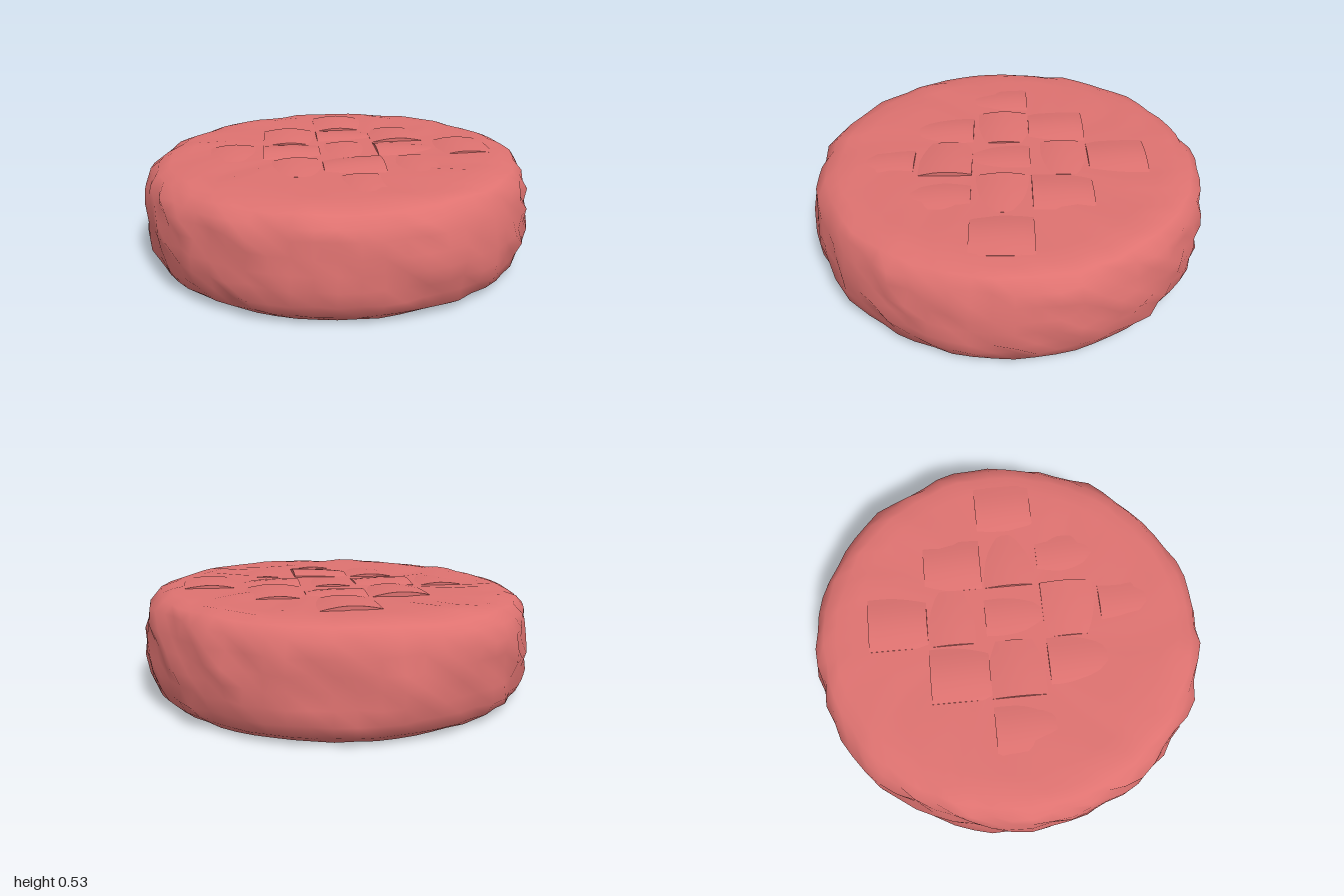
import * as THREE from 'three';
import { mergeVertices } from 'three/addons/utils/BufferGeometryUtils.js';

// Repeatable value in [-1, 1] for a pair of whole numbers
function hash(a, b) {
  const s = Math.sin(a * 127.1 + b * 311.7) * 43758.5453;
  return (s - Math.floor(s)) * 2 - 1;
}

// The top leans up slightly towards the back left
const lean = (x, z) => 0.014 * x - 0.01 * z;

// Round body: flat bottom, rough rounded side, smooth shallow top
function bodyGeometry() {
  const profile = [
    [0, 0], [0.5, 0], [0.84, 0], [0.885, 0.004], [0.935, 0.04], [0.962, 0.1], [0.971, 0.17],
    [0.973, 0.24], [0.97, 0.31], [0.962, 0.38], [0.943, 0.44], [0.9, 0.484], [0.84, 0.503],
    [0.75, 0.508], [0.6, 0.508], [0.4, 0.506], [0.2, 0.506], [0, 0.506],
  ].map(([r, y]) => new THREE.Vector2(r, y));
  const segments = 64;
  const lathe = new THREE.LatheGeometry(profile, segments);
  const p = lathe.attributes.position;
  for (let n = 0; n < p.count; n++) {
    const ring = n % profile.length;
    const seg = Math.floor(n / profile.length) % segments;
    const angle = seg / segments * Math.PI * 2;
    let { x: r, y } = profile[ring];
    if (ring > 2 && ring < 13) {
      // Broad lumps plus small chips, fading out at both rims
      const amount = ring < 5 || ring > 10 ? 0.5 : 1;
      r += amount * (0.007 * hash(Math.floor(seg / 3), Math.floor(ring / 3)) + 0.016 * hash(seg, ring));
    }
    const x = r * Math.sin(angle), z = 1.015 * r * Math.cos(angle);
    if (ring > 9) {
      y += lean(x, z) + (r > 0.5 ? 0.006 * hash(Math.floor(seg / 2), ring) : 0);
    }
    p.setXYZ(n, x, y, z);
  }
  // Weld the seam and centre so the shading is smooth all round
  lathe.deleteAttribute('normal');
  lathe.deleteAttribute('uv');
  const welded = mergeVertices(lathe, 1e-4);
  welded.computeVertexNormals();
  return welded;
}

// One raised square of the woven top: domed along one direction, tilted, with crisp edges
function tileGeometry(i, j, size) {
  const geometry = new THREE.BoxGeometry(size, 0.06, size, 6, 1, 6);
  const p = geometry.attributes.position;
  const cx = i * size, cz = j * size;
  for (let n = 0; n < p.count; n++) {
    const x = p.getX(n), z = p.getZ(n);
    const u = x / size, v = z / size;
    const along = (i + j) % 2 === 0 ? u : v;
    const across = (i + j) % 2 === 0 ? v : u;
    let y = 0.46;
    if (p.getY(n) > 0) {
      y = 0.498 + 0.02 * Math.cos(Math.PI * along) + 0.004 * Math.cos(Math.PI * across)
        + 0.006 * hash(i, j) + 0.016 * hash(i + 9, j) * u + 0.016 * hash(i, j + 9) * v
        + lean(cx + x, cz + z);
    }
    p.setXYZ(n, cx + x, y, cz + z);
  }
  geometry.computeVertexNormals();
  return geometry;
}

export function createModel() {
  const group = new THREE.Group();
  const meat = new THREE.MeshStandardMaterial({ color: 0xde7270 });
  meat.name = 'pinkish red';

  const body = new THREE.Mesh(bodyGeometry(), meat);
  body.name = 'pattyBody';
  group.add(body);

  // Woven squares wherever a whole one fits inside the rim
  const weave = new THREE.Group();
  weave.name = 'wovenTop';
  weave.rotation.y = 0.08;
  weave.position.set(0.06, 0, 0.03);
  const size = 0.29;
  for (let i = -3; i <= 3; i++) {
    for (let j = -3; j <= 3; j++) {
      const reach = Math.hypot(Math.abs(i) + 0.5, Math.abs(j) + 0.5) * size;
      if (reach > 0.83) continue;
      const tile = new THREE.Mesh(tileGeometry(i, j, size), meat);
      tile.name = 'wovenSquare';
      weave.add(tile);
    }
  }
  group.add(weave);
  return group;
}
